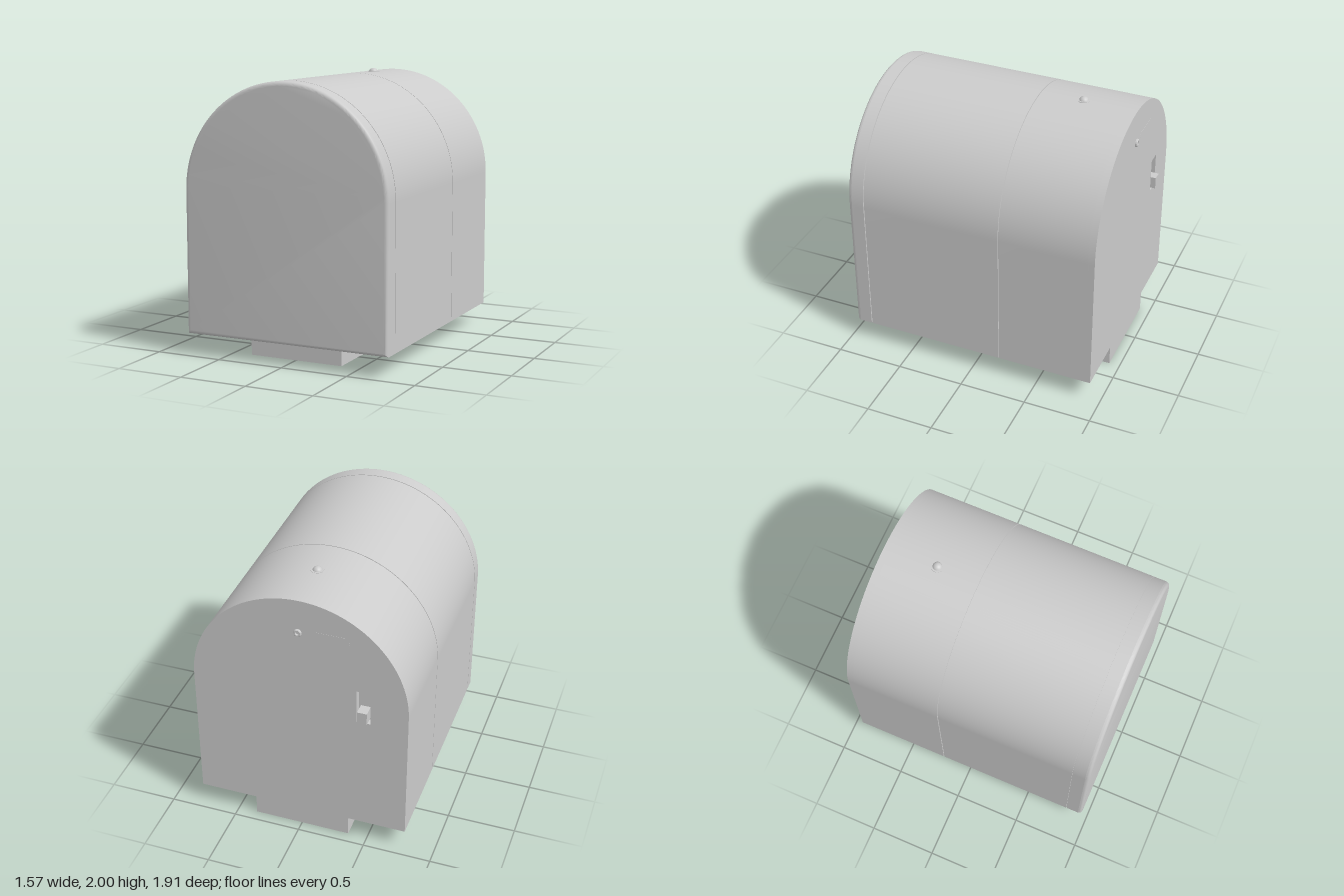
import * as THREE from 'three';
import { toCreasedNormals } from 'three/addons/utils/BufferGeometryUtils.js';

const R = 0.785, BOTTOM = 0.15, SPRING = 1.19;

export function createModel() {
  const model = new THREE.Group();
  const mat = new THREE.MeshStandardMaterial({ color: 0xcccccc });

  const add = (name, geo, x = 0, y = 0, z = 0) => {
    const mesh = new THREE.Mesh(geo, mat);
    mesh.name = name;
    mesh.position.set(x, y, z);
    model.add(mesh);
    return mesh;
  };

  // Round-topped outline
  const arch = (inset = 0) => {
    const r = R - inset, s = new THREE.Shape();
    s.moveTo(-r, BOTTOM);
    s.lineTo(r, BOTTOM);
    s.lineTo(r, SPRING);
    s.absarc(0, SPRING, r, 0, Math.PI, false);
    s.closePath();
    return s;
  };

  // Round-topped wall, open underneath
  const archWall = (outer, inner) => {
    const a = R - outer, b = R - inner, s = new THREE.Shape();
    s.moveTo(b, BOTTOM);
    s.lineTo(a, BOTTOM);
    s.lineTo(a, SPRING);
    s.absarc(0, SPRING, a, 0, Math.PI, false);
    s.lineTo(-a, BOTTOM);
    s.lineTo(-b, BOTTOM);
    s.lineTo(-b, SPRING);
    s.absarc(0, SPRING, b, Math.PI, 0, true);
    s.closePath();
    return s;
  };

  const rect = (path, x0, y0, x1, y1) => {
    path.moveTo(x0, y0);
    path.lineTo(x1, y0);
    path.lineTo(x1, y1);
    path.lineTo(x0, y1);
    path.closePath();
    return path;
  };

  const extrude = (shape, z0, z1) => {
    const g = new THREE.ExtrudeGeometry(shape, { depth: z1 - z0, bevelEnabled: false, curveSegments: 64 });
    g.translate(0, 0, z0);
    return toCreasedNormals(g, 0.5);
  };

  // Front cap with a rounded front rim
  const b = 0.03;
  add('frontCap', extrude(arch(), 0.838, 0.93));
  const rim = new THREE.ExtrudeGeometry(arch(), {
    depth: 0.001, bevelEnabled: true, bevelSize: b, bevelThickness: b,
    bevelOffset: -b, bevelSegments: 5, curveSegments: 64,
  });
  rim.translate(0, 0, 0.96 - b - 0.001);
  add('frontCapRim', toCreasedNormals(rim, 0.5));
  add('frontCapInnerPlate', extrude(arch(0.04), 0.8, 0.838));

  // Hollow middle shell; the liner shows at the bottom of both seams
  add('middleShell', extrude(archWall(0, 0.02), -0.207, 0.832));
  add('shellLiner', extrude(archWall(0.01, 0.085), -0.22, 0.838));

  // Rear housing, with a back plate cut out for the switch
  add('rearHousing', extrude(arch(), -0.87, -0.213));
  const back = arch();
  back.holes.push(rect(new THREE.Path(), -0.515, 1.07, -0.415, 1.33));
  add('backPlate', extrude(back, -0.92, -0.87));
  add('switchSlider', new THREE.BoxGeometry(0.07, 0.09, 0.09), -0.465, 1.135, -0.91);

  // Small socket on the back
  const socket = new THREE.LatheGeometry([
    [0, -0.02], [0.014, -0.02], [0.014, 0.015], [0.024, 0.015], [0.029, 0.01], [0.029, -0.01],
  ].map(([x, y]) => new THREE.Vector2(x, y)), 32);
  socket.scale(1, 1, 1);
  const socketMesh = add('socket', toCreasedNormals(socket, 0.5), 0, 1.72, -0.92);
  socketMesh.rotation.x = -Math.PI / 2;
  socketMesh.material = mat.clone();
  socketMesh.material.side = THREE.DoubleSide;

  // Flush pill-shaped inlay beside the socket
  const pill = new THREE.Shape();
  pill.absarc(-0.13, 1.7, 0.05, -Math.PI / 2, Math.PI / 2, false);
  pill.absarc(-0.315, 1.7, 0.05, Math.PI / 2, Math.PI * 1.5, false);
  pill.closePath();
  add('backInlay', extrude(pill, -0.921, -0.915));

  // Domed light on the top
  add('lightCollar', new THREE.CylinderGeometry(0.046, 0.046, 0.03, 40), 0, 1.962, -0.525);
  add('lightDome', new THREE.SphereGeometry(0.036, 32, 20), 0, 1.964, -0.525);

  // Foot running under the body, and the block above it inside the hollow
  add('foot', new THREE.BoxGeometry(0.715, BOTTOM, 1.7), 0, BOTTOM / 2, -0.07);
  add('innerBlock', new THREE.BoxGeometry(0.72, 1.0, 1.02), 0, 0.85, 0.29);

  return model;
}
